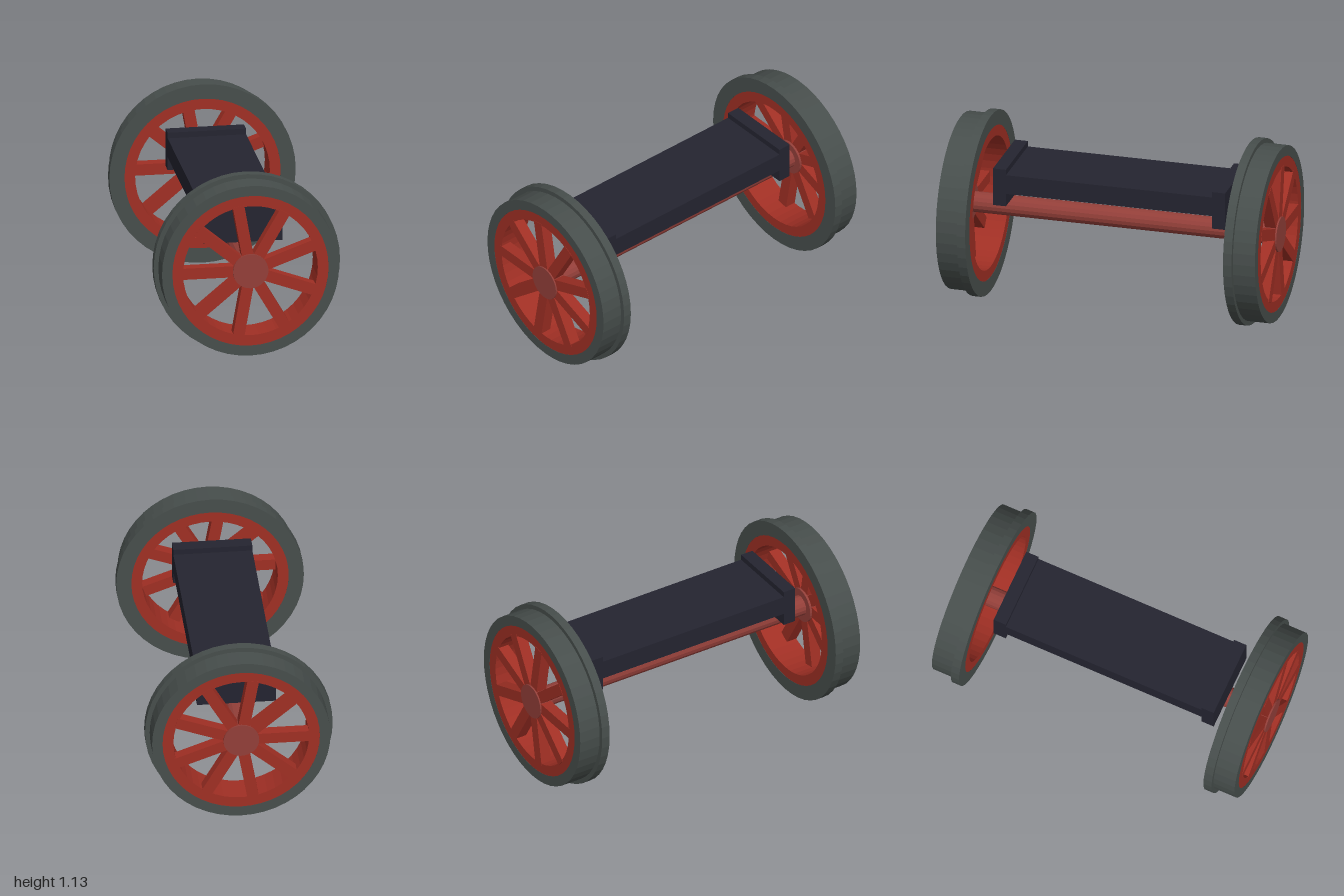
import * as THREE from 'three';

const material = (name, color) => {
  const m = new THREE.MeshStandardMaterial({ color, flatShading: true });
  m.name = name;
  return m;
};

export function createModel() {
  const steel = material('dark grey steel', 0x474e4c);
  const red = material('wheel red', 0xa02f24);
  const axleRed = material('axle dull red', 0x933f39);
  const navy = material('frame dark navy', 0x242430);

  const AXLE_Y = 0.565;
  const model = new THREE.Group();
  model.name = 'wheelset';

  const add = (parent, name, geometry, mat, x = 0, y = 0, z = 0) => {
    const mesh = new THREE.Mesh(geometry, mat);
    mesh.name = name;
    mesh.position.set(x, y, z);
    parent.add(mesh);
    return mesh;
  };

  // Closed ring turned about the z axis; points are [radius, z]
  const ring = (points) => {
    const profile = points.map(([r, z]) => new THREE.Vector2(r, z));
    profile.push(profile[0].clone());
    return new THREE.LatheGeometry(profile, 48).rotateX(Math.PI / 2);
  };
  const rod = (radius, length, sides) =>
    new THREE.CylinderGeometry(radius, radius, length, sides).rotateX(Math.PI / 2);

  // Flange on the inner edge, narrower tread outside
  const tyreGeo = ring([
    [0.472, 0.8], [0.563, 0.8], [0.563, 0.853], [0.535, 0.853], [0.535, 0.99], [0.472, 0.99],
  ]);
  const rimGeo = ring([[0.407, 0.801], [0.473, 0.801], [0.473, 0.989], [0.407, 0.989]]);
  const spokeGeo = new THREE.BoxGeometry(0.355, 0.07, 0.068).translate(0.2375, 0, 0.957);
  const hubGeo = rod(0.107, 0.09, 32);

  function makeWheel(name) {
    const wheel = new THREE.Group();
    wheel.name = name;
    add(wheel, 'tyre', tyreGeo, steel);
    add(wheel, 'rim', rimGeo, red);
    add(wheel, 'hub', hubGeo, axleRed, 0, 0, 0.955);
    for (let i = 0; i < 9; i++) {
      add(wheel, 'spoke', spokeGeo, red).rotation.z = Math.PI + (i * Math.PI * 2) / 9;
    }
    wheel.position.y = AXLE_Y;
    model.add(wheel);
    return wheel;
  }

  // The nine spokes match under a half turn about x
  makeWheel('frontWheel');
  makeWheel('backWheel').rotation.x = Math.PI;
  model.getObjectByName('backWheel').rotation.order = 'XYZ';

  add(model, 'axle', rod(0.0625, 1.9, 16), axleRed, 0, AXLE_Y, 0);

  // Frame beam with a taller plate at each end
  add(model, 'frameBeam', new THREE.BoxGeometry(0.474, 0.12, 1.3), navy, 0, 0.795, 0);
  for (const side of [1, -1]) {
    add(model, 'framePlate', new THREE.BoxGeometry(0.474, 0.235, 0.08), navy, 0, 0.7725, side * 0.68);
  }

  return model;
}
